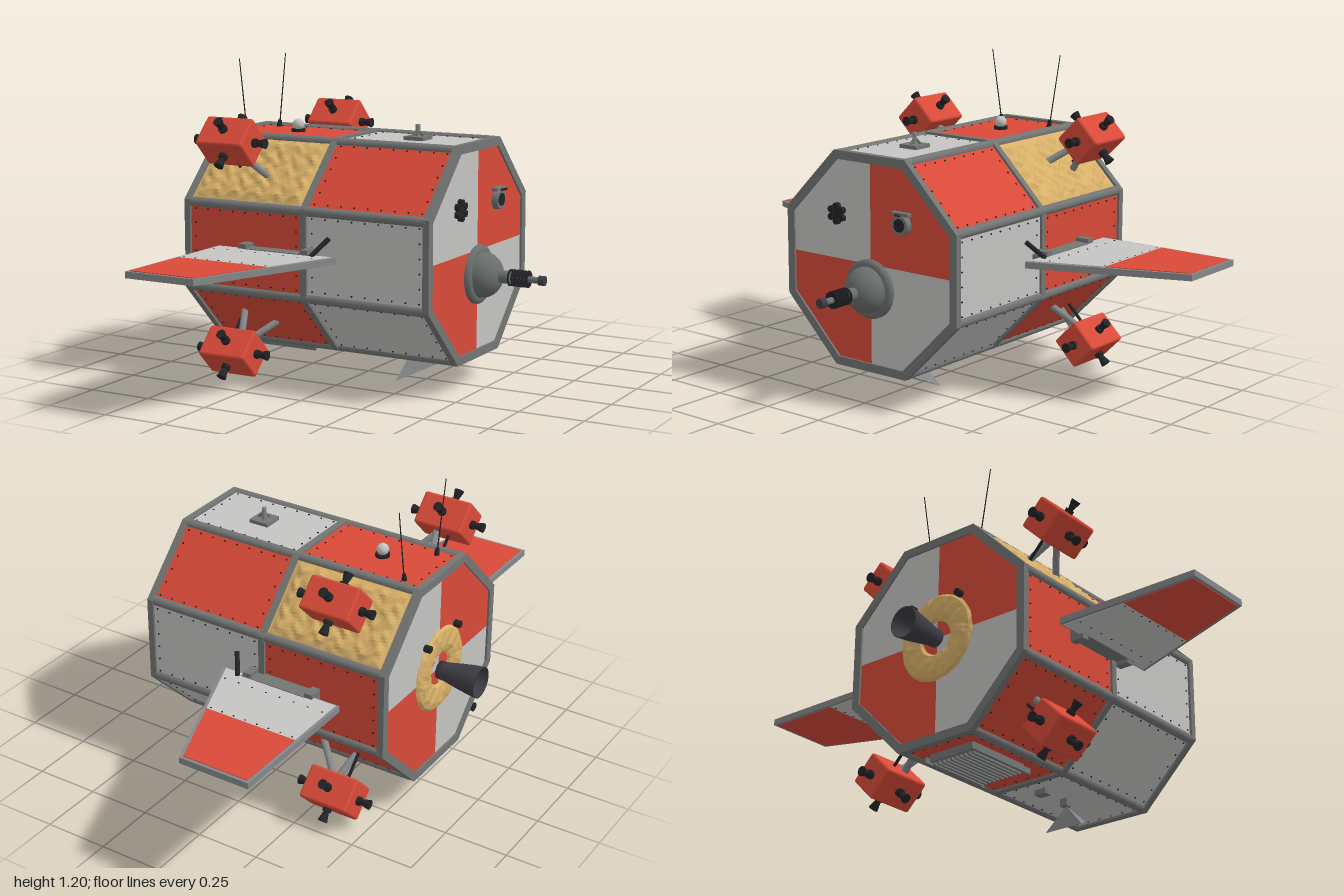
import * as THREE from 'three';
import { mergeGeometries } from 'three/addons/utils/BufferGeometryUtils.js';
import { RoundedBoxGeometry } from 'three/addons/geometries/RoundedBoxGeometry.js';

const CY = 0.52, AP = 0.4, T = Math.tan(Math.PI / 8);
const V = (x, y, z) => new THREE.Vector3(x, y, z);

function material(name, color, extra = {}) {
  const m = new THREE.MeshStandardMaterial({ color, ...extra });
  m.name = name;
  return m;
}

export function createModel() {
  const red = material('red paint', 0xd94a38);
  const white = material('off white paint', 0xc4c4c2);
  const gold = material('gold foil', 0xd8b068, { flatShading: true, side: THREE.DoubleSide });
  const frame = material('frame grey', 0x737674);
  const metal = material('dome grey', 0x6a6f6c);
  const black = material('black', 0x222326);
  const bell = material('nozzle grey', 0x3d3d45, { side: THREE.DoubleSide });
  const plate = material('plate grey', 0x85888a, { side: THREE.DoubleSide });

  const model = new THREE.Group();
  model.name = 'spacecraft';

  const add = (parent, name, geo, mat, x = 0, y = 0, z = 0) => {
    const m = new THREE.Mesh(geo, mat);
    m.name = name;
    m.position.set(x, y, z);
    parent.add(m);
    return m;
  };
  const box = (parent, name, mat, w, h, d, x, y, z) =>
    add(parent, name, new THREE.BoxGeometry(w, h, d), mat, x, y, z);
  // Tapered rod from a to b
  const rod = (parent, name, mat, a, b, r0, r1 = r0, sides = 12) => {
    const d = b.clone().sub(a);
    const m = add(parent, name, new THREE.CylinderGeometry(r1, r0, d.length(), sides), mat);
    m.position.copy(a).add(b).multiplyScalar(0.5);
    m.quaternion.setFromUnitVectors(V(0, 1, 0), d.normalize());
    return m;
  };
  // Frame of one hull side: local +y points out of that side
  const sideGroup = (name, i) => {
    const g = new THREE.Group();
    g.name = name;
    g.position.y = CY;
    g.rotation.x = i * Math.PI / 4;
    model.add(g);
    return g;
  };
  // Small repeatable crumple for foil
  const crumple = (u, v) =>
    0.003 * (Math.sin(u * 97 + Math.sin(v * 61) * 2) + Math.sin(v * 113 + Math.sin(u * 71) * 2));

  // Rivets around the border of a panel
  const rivets = (w, d) => {
    const parts = [];
    const put = (x, z) => parts.push(new THREE.CylinderGeometry(0.0035, 0.0035, 0.004, 6).translate(x, 0, z));
    for (let i = 0; i < 9; i++) for (const s of [-1, 1]) put((i / 8 - 0.5) * w, s * d / 2);
    for (let i = 1; i < 5; i++) for (const s of [-1, 1]) put(s * w / 2, (i / 5 - 0.5) * d);
    return mergeGeometries(parts);
  };
  const rivetGeo = rivets(0.44, 0.27);

  // Hull side panels and corner bars
  for (let i = 0; i < 8; i++) {
    const g = sideGroup('hullSide', i), upperSlope = i === 1 || i === 7;
    for (const [x, mat] of [[-0.3, upperSlope ? gold : red], [0.207, upperSlope ? red : white]]) {
      box(g, 'sidePanel', mat, 0.485, 0.02, 0.316, x, AP - 0.015, 0);
      if (mat !== gold) {
        add(g, 'rivets', rivetGeo, black, x, AP - 0.004, 0);
        continue;
      }
      const foil = new THREE.PlaneGeometry(0.47, 0.29, 44, 28).rotateX(-Math.PI / 2);
      const p = foil.attributes.position;
      for (let k = 0; k < p.count; k++) {
        const u = p.getX(k), v = p.getZ(k);
        const edge = Math.min(1, (0.235 - Math.abs(u)) / 0.03, (0.145 - Math.abs(v)) / 0.03);
        p.setY(k, edge * (0.011 + crumple(u, v)));
      }
      foil.computeVertexNormals();
      add(g, 'foilBlanket', foil, gold, x, AP - 0.004, 0);
    }
    const bar = add(g, 'cornerBar', new THREE.CylinderGeometry(0.019, 0.019, 1.0, 8), frame, -0.05, AP - 0.014, AP * T - 0.003);
    bar.rotation.z = Math.PI / 2;
  }

  // Octagonal ring frames
  const octagon = (r, target) => {
    const pts = [];
    for (let i = 0; i < 8; i++) {
      const a = (i + 0.5) * Math.PI / 4;
      pts.push(new THREE.Vector2(Math.cos(a) * r, Math.sin(a) * r));
    }
    return target.setFromPoints(pts);
  };
  const ringShape = octagon(0.438, new THREE.Shape());
  ringShape.holes.push(octagon(0.403, new THREE.Path()));
  for (const [x, depth] of [[-0.566, 0.025], [-0.059, 0.025], [0.443, 0.025]]) {
    const geo = new THREE.ExtrudeGeometry(ringShape, { depth, bevelEnabled: false }).rotateY(Math.PI / 2);
    add(model, 'ringFrame', geo, frame, x, CY, 0);
  }

  // End walls in four quarters
  const a = 0.39, quarter = new THREE.Shape();
  quarter.setFromPoints([[0, 0], [a, 0], [a, a * T], [a * T, a], [0, a]].map(p => new THREE.Vector2(...p)));
  const quarterGeo = new THREE.ExtrudeGeometry(quarter, { depth: 0.01, bevelEnabled: false }).rotateY(Math.PI / 2);
  for (let k = 0; k < 4; k++) {
    for (const [x, first, second] of [[0.45, red, white], [-0.558, white, red]]) {
      add(model, 'endQuarter', quarterGeo, k % 2 ? second : first, x, CY, 0).rotation.x = k * Math.PI / 2;
    }
  }

  // Main engine with foil collar
  const collar = new THREE.TorusGeometry(0.115, 0.052, 10, 48);
  const cp = collar.attributes.position;
  for (let k = 0; k < cp.count; k++) cp.setZ(k, cp.getZ(k) * 0.3 + crumple(cp.getX(k), cp.getY(k)) * 0.6);
  collar.rotateY(Math.PI / 2).computeVertexNormals();
  add(model, 'engineCollar', collar, gold, -0.56, CY, 0);
  const bellPts = [[0.001, 0], [0.034, 0], [0.036, 0.03], [0.046, 0.08], [0.055, 0.13], [0.06, 0.172], [0.056, 0.172], [0.03, 0.04], [0.001, 0.035]];
  const engine = add(model, 'engineBell', new THREE.LatheGeometry(bellPts.map(p => new THREE.Vector2(...p)), 32), bell, -0.563, CY - 0.004, 0);
  engine.rotation.z = Math.PI / 2;
  for (const z of [-0.11, 0.11]) rod(model, 'sternLamp', black, V(-0.56, 0.66, z), V(-0.585, 0.66, z), 0.014);

  // Docking dome and probe
  const domePts = [[0.11, 0], [0.11, 0.012], [0.1, 0.022], [0.087, 0.022]];
  for (let i = 0; i <= 8; i++) {
    const t = i / 8 * 1.45;
    domePts.push([0.086 * Math.cos(t), 0.022 + 0.078 * Math.sin(t)]);
  }
  domePts.push([0.0001, 0.1]);
  const dome = add(model, 'dockingDome', new THREE.LatheGeometry(domePts.map(p => new THREE.Vector2(...p)), 40), metal, 0.46, 0.43, 0);
  dome.rotation.z = -Math.PI / 2;
  const axial = (name, mat, x0, x1, r) => rod(model, name, mat, V(x0, 0.43, 0), V(x1, 0.43, 0), r, r, 20);
  axial('probeBase', metal, 0.55, 0.6, 0.024);
  axial('probeShaft', metal, 0.6, 0.72, 0.012);
  for (let i = 0; i < 6; i++) axial('probeRing', black, 0.595 + i * 0.014, 0.599 + i * 0.014, 0.032);
  axial('probeTip', bell, 0.71, 0.733, 0.018);

  // Bow sensors
  rod(model, 'lampCluster', black, V(0.455, 0.69, 0.155), V(0.475, 0.69, 0.155), 0.025);
  for (let i = 0; i < 6; i++) {
    const t = i * Math.PI / 3, y = 0.69 + 0.028 * Math.cos(t), z = 0.155 + 0.028 * Math.sin(t);
    rod(model, 'clusterLamp', black, V(0.455, y, z), V(0.478, y, z), 0.013);
  }
  rod(model, 'sensorHousing', frame, V(0.455, 0.69, -0.155), V(0.482, 0.69, -0.155), 0.04, 0.036, 20);
  rod(model, 'sensorLens', black, V(0.48, 0.69, -0.155), V(0.486, 0.69, -0.155), 0.024, 0.024, 20);
  box(model, 'sensorHood', frame, 0.022, 0.012, 0.08, 0.471, 0.73, -0.155);
  rod(model, 'sensorArm', black, V(0.47, 0.722, -0.155), V(0.505, 0.732, -0.155), 0.004);

  // Thruster pods on struts
  for (const i of [1, 3, 5, 7]) {
    const g = sideGroup('thrusterPod', i), c = V(-0.36, 0.56, 0);
    add(g, 'podBody', new RoundedBoxGeometry(0.2, 0.13, 0.13, 2, 0.01), red, c.x, c.y, c.z);
    for (const [d, r] of [[V(1, 0, 0), 0.1], [V(-1, 0, 0), 0.1], [V(0, 1, 0), 0.065], [V(0, 0, 1), 0.065], [V(0, 0, -1), 0.065]]) {
      const at = k => c.clone().addScaledVector(d, k);
      rod(g, 'thrusterSocket', black, at(r - 0.005), at(r + 0.014), 0.017);
      rod(g, 'thrusterNozzle', black, at(r + 0.01), at(r + 0.052), 0.009, 0.019);
    }
    for (const z of [-0.03, 0.03]) {
      rod(g, 'podStrut', plate, V(-0.34, 0.51, z * 0.5), V(z > 0 ? -0.25 : -0.37, 0.39, z), 0.013);
    }
    rod(g, 'podCable', black, V(-0.39, 0.51, 0), V(-0.39, 0.39, 0), 0.006);
  }

  // Side fins
  const finPart = (name, s, pts, thick, mat) => {
    const shape = new THREE.Shape(pts.map(([x, z]) => new THREE.Vector2(x, z * s)));
    const geo = new THREE.ExtrudeGeometry(shape, { depth: thick, bevelEnabled: false });
    geo.translate(0, 0, -thick / 2).rotateX(Math.PI / 2);
    add(model, name, geo, mat, 0, 0.516, 0);
  };
  const lead = z => 0.105 - (z - 0.43) * 0.386;
  for (const s of [1, -1]) {
    finPart('finEdge', s, [[-0.4, 0.43], [lead(0.43), 0.43], [lead(1), 1], [-0.4, 1]], 0.024, plate);
    const skin = (name, z0, z1, mat) => finPart(name, s,
      [[-0.388, z0], [lead(z0) - 0.014, z0], [lead(z1) - 0.014, z1], [-0.388, z1]], 0.029, mat);
    skin('finRoot', 0.437, 0.7, white);
    skin('finTip', 0.7, 0.988, red);
    box(model, 'finMount', frame, 0.28, 0.034, 0.06, -0.13, 0.516, s * 0.425);
    for (const x of [-0.28, -0.015]) box(model, 'finClamp', frame, 0.032, 0.064, 0.055, x, 0.516, s * 0.425);
    rod(model, 'finBrace', black, V(0.02, 0.53, s * 0.46), V(0.062, 0.59, s * 0.402), 0.009);
    for (let k = 0; k < 8; k++) for (const z of [0.5, 0.69]) {
      const x = -0.37 + k * (lead(z) + 0.34) / 7;
      rod(model, 'finRivet', black, V(x, 0.5, s * z), V(x, 0.532, s * z), 0.0035, 0.0035, 6);
    }
  }

  // Whip antennas, top lamp and mast
  for (const s of [1, -1]) {
    rod(model, 'whipBase', black, V(-0.47, 0.91, s * 0.115), V(-0.47, 0.94, s * 0.12), 0.011, 0.007);
    rod(model, 'whipAntenna', black, V(-0.47, 0.93, s * 0.12), V(-0.47, 1.2, s * 0.165), 0.0025, 0.0018, 6);
  }
  rod(model, 'lampBase', black, V(-0.31, 0.915, 0), V(-0.31, 0.927, 0), 0.027);
  add(model, 'topLamp', new THREE.SphereGeometry(0.023, 16, 12), white, -0.31, 0.943, 0);
  box(model, 'mastPlate', frame, 0.08, 0.014, 0.08, 0.21, 0.922, 0);
  rod(model, 'mast', plate, V(0.21, 0.92, 0), V(0.21, 0.972, 0), 0.009);
  for (let i = 0; i < 3; i++) {
    const t = i * Math.PI * 2 / 3;
    rod(model, 'mastLeg', metal, V(0.21 + 0.027 * Math.cos(t), 0.925, 0.027 * Math.sin(t)), V(0.21, 0.952, 0), 0.005);
  }

  // Belly radiator
  box(model, 'radiatorBase', frame, 0.28, 0.03, 0.2, -0.33, 0.112, 0);
  for (let i = 0; i < 10; i++) box(model, 'radiatorSlat', frame, 0.26, 0.014, 0.009, -0.33, 0.092, -0.09 + i * 0.02);
  for (const s of [1, -1]) box(model, 'radiatorRail', frame, 0.32, 0.022, 0.012, -0.33, 0.1, s * 0.108);
  box(model, 'bellyBox', frame, 0.035, 0.02, 0.05, 0.043, 0.11, 0);

  // Corner reflector of three triangular plates
  const apex = V(0.185, 0.1, 0), rim = [V(0.165, 0.005, 0.085), V(0.165, 0.005, -0.085), V(0.3, 0.07, 0)];
  const tri = [];
  for (let i = 0; i < 3; i++) tri.push(apex, rim[i], rim[(i + 1) % 3]);
  const reflector = new THREE.BufferGeometry().setFromPoints(tri);
  reflector.computeVertexNormals();
  add(model, 'cornerReflector', reflector, plate);
  box(model, 'reflectorMount', frame, 0.03, 0.03, 0.03, 0.18, 0.11, 0);

  return model;
}
